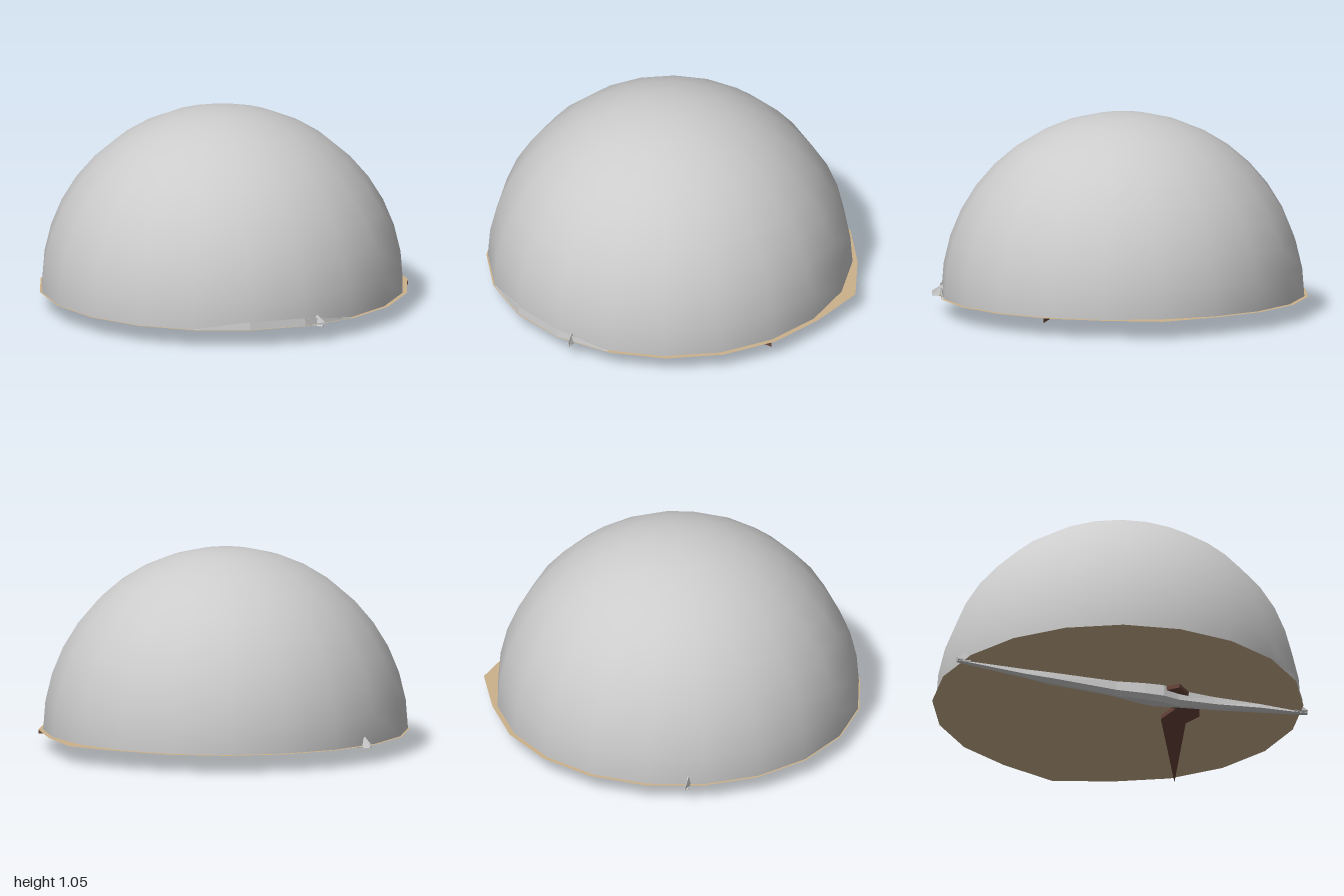
import * as THREE from 'three';

const material = (color, flatShading = true) =>
  new THREE.MeshStandardMaterial({ color, flatShading, side: THREE.DoubleSide });

// Joins equal-sized rings of [x, y, z] points into a closed solid
function loft(rings) {
  const n = rings[0].length, index = [];
  for (let i = 0; i < rings.length - 1; i++) {
    for (let j = 0; j < n; j++) {
      const a = i * n + j, b = i * n + (j + 1) % n;
      index.push(a, b, a + n, b, b + n, a + n);
    }
  }
  const last = (rings.length - 1) * n;
  for (let j = 1; j < n - 1; j++) index.push(0, j + 1, j, last, last + j, last + j + 1);
  const g = new THREE.BufferGeometry();
  g.setAttribute('position', new THREE.Float32BufferAttribute(rings.flat(2), 3));
  g.setIndex(index);
  g.computeVertexNormals();
  return g;
}

export function createModel() {
  const group = new THREE.Group();
  const add = (name, geometry, mat) => {
    const mesh = new THREE.Mesh(geometry, mat);
    mesh.name = name;
    group.add(mesh);
    return mesh;
  };
  const grey = material(0xcccccc);
  const baseY = 0.1;

  // Smooth hemispherical shell
  const dome = add('dome',
    new THREE.SphereGeometry(0.953, 20, 10, 0, Math.PI * 2, 0, Math.PI / 2),
    material(0xcccccc, false));
  dome.position.set(0, baseY, 0.03);

  // Ground disc, with its back corner pulled outwards
  const discGeometry = new THREE.CircleGeometry(0.97, 20).rotateX(-Math.PI / 2);
  discGeometry.translate(0, 0, 0.02);
  const p = discGeometry.attributes.position;
  for (let i = 0; i < p.count; i++) if (p.getZ(i) < -0.94) p.setZ(i, -1);
  add('ground', discGeometry, material(0xcdb28c)).position.y = baseY - 0.001;

  // Sagging beam across the underside: [x, back z, front z, bottom y]
  const sections = [
    [-0.97, 0.23, 0.25, 0.09], [-0.6, 0.22, 0.26, 0.055],
    [-0.45, 0.2, 0.27, 0.045], [-0.1, 0.21, 0.28, 0.022],
    [0.05, 0.19, 0.31, 0.01], [0.15, 0.19, 0.32, 0.005],
    [0.24, 0.2, 0.29, 0.012], [0.45, 0.2, 0.27, 0.035],
    [0.7, 0.21, 0.27, 0.062], [0.97, 0.23, 0.25, 0.09],
  ];
  add('beam', loft(sections.map(([x, back, front, low]) => [
    [x, baseY, back + 0.02], [x, baseY, front - 0.01],
    [x, low + (baseY - low) * 0.3, front], [x, low, front - 0.02],
    [x, low + (baseY - low) * 0.25, back],
  ])), grey);

  // Small pointed fins where the beam leaves the rim
  for (const s of [-1, 1]) {
    add(s > 0 ? 'leftFin' : 'rightFin', loft([
      [[s * 0.9, 0.095, 0.22], [s * 0.975, 0.09, 0.235], [s * 0.9, 0.095, 0.26]],
      [[s * 0.92, 0.145, 0.24], [s * 0.975, 0.115, 0.24], [s * 0.92, 0.145, 0.245]],
    ]), grey);
  }

  // Low lip raised along the left front rim
  const rim = [[0.57, 0.8, 0], [0.777, 0.592, 0.04], [0.918, 0.325, 0.04], [0.965, 0.03, 0]];
  add('rimLip', loft(rim.map(([x, z, h]) => [
    [x, baseY, z], [x * 0.995, baseY + h, z * 0.995], [x * 0.97, baseY, z * 0.97],
  ])), grey);

  // Dark hooked strip under the ground disc, drawn as (x, -z)
  const outline = [
    [0.59, -0.75], [0.4, -0.045], [0.44, 0.06], [0.39, 0.18], [0.27, 0.31],
    [0.22, 0.36], [0.17, 0.31], [0.13, 0.25], [0.17, 0.19], [0.29, 0.1], [0.26, -0.04],
  ];
  const shape = new THREE.Shape(outline.map(([x, z]) => new THREE.Vector2(x, -z)));
  const strip = add('hookedStrip',
    new THREE.ExtrudeGeometry(shape, { depth: 0.023, bevelEnabled: false }),
    material(0x6b463c));
  strip.rotation.x = -Math.PI / 2;
  strip.position.y = 0.074;

  return group;
}
